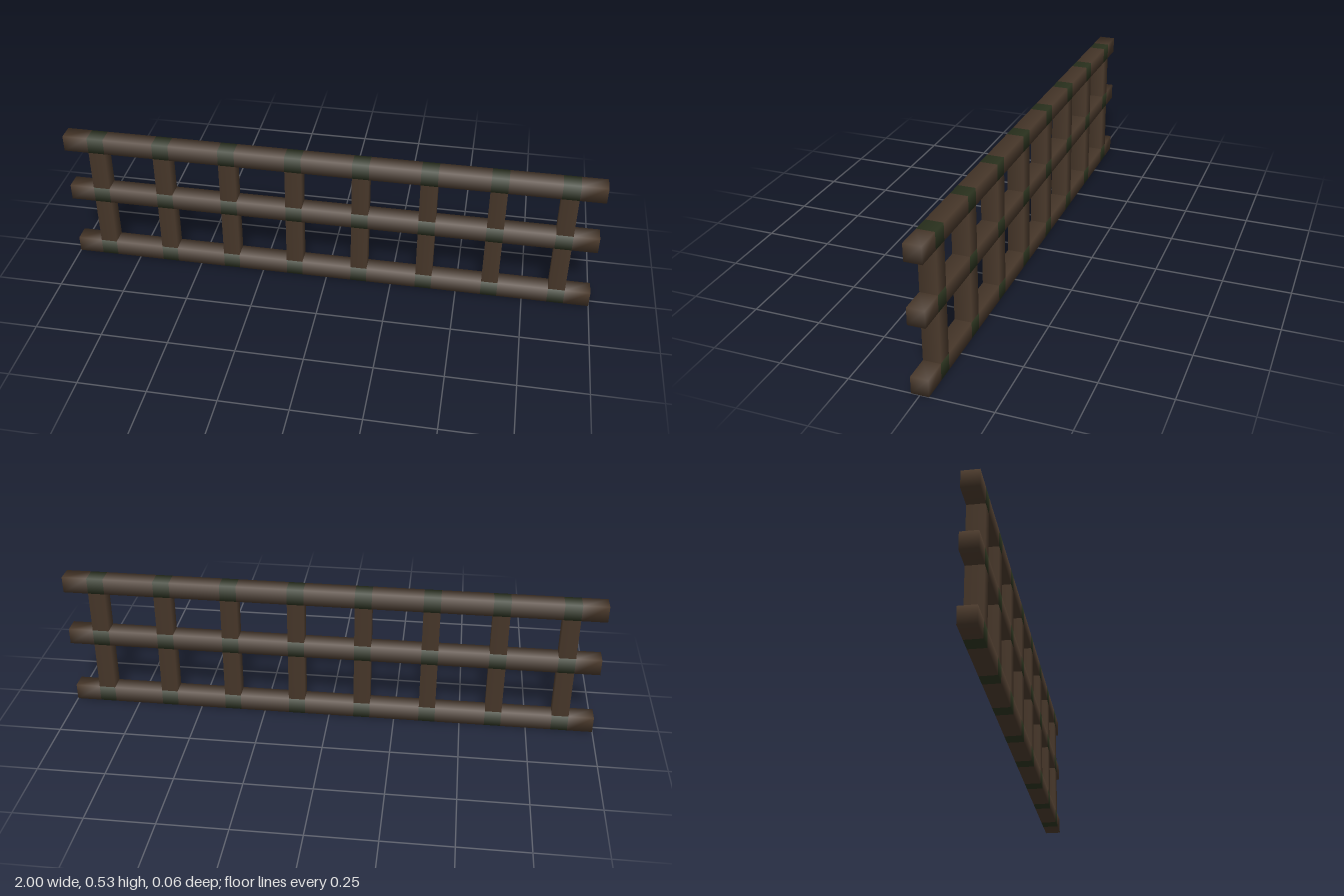
import * as THREE from 'three';

const T = 0.062; // beam thickness
const postXs = [-0.875, -0.625, -0.375, -0.125, 0.125, 0.375, 0.625, 0.875];
const railYs = [0.031, 0.283, 0.503];

const wood = new THREE.MeshStandardMaterial({ color: 0x4c3b2d });
wood.name = 'dark wood';
const binding = new THREE.MeshStandardMaterial({ color: 0x2d3520 });
binding.name = 'mossy green binding';

// Open square tube along y with softly rounded normals
function beam(length) {
  return new THREE.CylinderGeometry(T / Math.SQRT2, T / Math.SQRT2, length, 4, 1, true, Math.PI / 4);
}

// Closed rail end along x; normals blend around the outer corners
function railEnd(length, side) {
  const geo = new THREE.BoxGeometry(length, T, T);
  const pos = geo.attributes.position;
  const n = new THREE.Vector3();
  for (let i = 0; i < pos.count; i++) {
    const outer = pos.getX(i) * side > 0 ? side : 0;
    n.set(outer, Math.sign(pos.getY(i)), Math.sign(pos.getZ(i))).normalize();
    geo.attributes.normal.setXYZ(i, n.x, n.y, n.z);
  }
  return geo;
}

function add(parent, name, geo, material, x, y) {
  const mesh = new THREE.Mesh(geo, material);
  mesh.name = name;
  mesh.position.set(x, y, 0);
  parent.add(mesh);
}

export function createModel() {
  const model = new THREE.Group();
  model.name = 'railFence';

  // Horizontal rails: plain spans with a green binding at every post
  const span = 0.25 - T;
  const endLength = 0.125 - T / 2;
  railYs.forEach((y) => {
    const rail = new THREE.Group();
    rail.name = 'rail';
    postXs.forEach((x, i) => {
      add(rail, 'binding', beam(T).rotateZ(Math.PI / 2), binding, x, y);
      if (i > 0) add(rail, 'railSpan', beam(span).rotateZ(Math.PI / 2), wood, x - 0.125, y);
    });
    for (const side of [-1, 1]) {
      add(rail, 'railEnd', railEnd(endLength, side), wood, side * (1 - endLength / 2), y);
    }
    model.add(rail);
  });

  // Upright posts, in sections between the rails
  postXs.forEach((x) => {
    const post = new THREE.Group();
    post.name = 'post';
    for (let i = 0; i < railYs.length - 1; i++) {
      const length = railYs[i + 1] - railYs[i] - T;
      add(post, 'postSection', beam(length), wood, x, (railYs[i] + railYs[i + 1]) / 2);
    }
    model.add(post);
  });

  return model;
}
